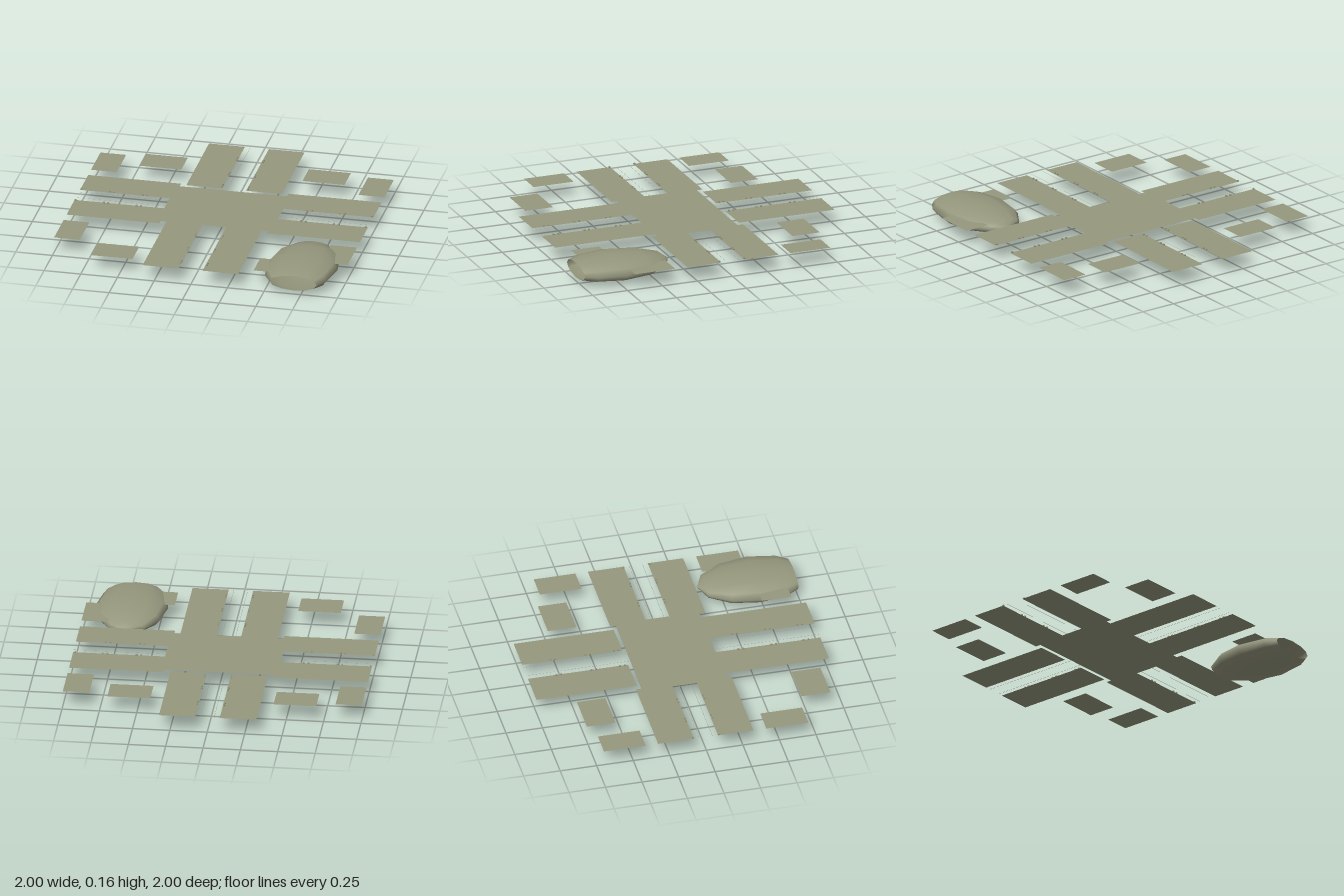
import * as THREE from 'three';

const GROUND = 0.108;

export function createModel() {
  const root = new THREE.Group();
  const mat = new THREE.MeshStandardMaterial({ color: 0x95977d, side: THREE.DoubleSide });

  const add = (name, geometry, parent = root) => {
    const mesh = new THREE.Mesh(geometry, mat);
    mesh.name = name;
    parent.add(mesh);
    return mesh;
  };

  // Flat horizontal sheet between two corners
  const sheet = (name, x0, x1, z0, z1, y = GROUND) => {
    const g = new THREE.PlaneGeometry(x1 - x0, z1 - z0).rotateX(-Math.PI / 2);
    g.translate((x0 + x1) / 2, y, (z0 + z1) / 2);
    return add(name, g);
  };

  // Crossing and the paired carriageways of each arm
  sheet('crossing', -0.39, 0.385, -0.29, 0.283, GROUND - 0.001);
  for (const [x0, x1] of [[-1, -0.367], [0.363, 1]]) {
    sheet('sideRoad', x0, x1, -0.33, -0.085);
    sheet('sideRoad', x0, x1, 0.08, 0.322);
  }
  for (const [x0, x1] of [[-0.328, -0.083], [0.08, 0.323]]) {
    sheet('backRoad', x0, x1, -1, -0.315);
    sheet('frontRoad', x0, x1, 0.28, 1);
  }

  // Plots of land in the four corners
  for (const [x0, x1] of [[-1, -0.825], [0.823, 1]]) {
    sheet('outerPlot', x0, x1, -0.7, -0.415);
    sheet('outerPlot', x0, x1, 0.41, 0.697);
  }
  for (const [x0, x1] of [[-0.7, -0.415], [0.41, 0.697]]) {
    sheet('innerPlot', x0, x1, -0.745, -0.55);
    sheet('innerPlot', x0, x1, 0.72, 0.92);
  }

  // Thin lines along the medians, and the turning lines that join them
  const w = 0.001;
  for (const sx of [-1, 1]) {
    const x = sx * 0.046;
    sheet('medianLine', x - w, x + w, -1, -0.285);
    sheet('medianLine', x - w, x + w, 0.28, 1);
    for (const sz of [-1, 1]) {
      const z = sz * 0.045 - 0.003;
      const [a, b] = sx < 0 ? [-1, -0.13] : [0.13, 1];
      sheet('medianLine', a, b, z - w, z + w, GROUND + 0.0005);
      const path = [[0.13, 0.045], [0.07, 0.12], [0.075, 0.2], [0.046, 0.28]];
      for (let i = 0; i < path.length - 1; i++) {
        const [x0, z0] = path[i], [x1, z1] = path[i + 1];
        const g = new THREE.PlaneGeometry(Math.hypot(x1 - x0, z1 - z0), 2 * w).rotateX(-Math.PI / 2);
        const line = add('turningLine', g);
        line.position.set(sx * (x0 + x1) / 2, GROUND + 0.0005, sz * (z0 + z1) / 2);
        line.rotation.y = -Math.atan2(sz * (z1 - z0), sx * (x1 - x0));
      }
    }
  }

  // Small kerb markers beside the medians, in pairs
  const marker = (x, z) => add('kerbMarker', new THREE.BoxGeometry(0.011, 0.009, 0.011))
    .position.set(x, GROUND + 0.004, z);
  for (const side of [-0.09, 0.088]) {
    for (const p of [-0.785, -0.56, 0.56, 0.785])
      for (const d of [-0.016, 0.016]) marker(p + d, side);
    for (const p of [-0.79, -0.55, -0.355, 0.455, 0.68, 0.9])
      for (const d of [-0.016, 0.016]) marker(side, p + d);
    marker(-0.992, side);
    marker(0.985, side);
  }

  // Flattened low-sided dome lying along z, cut off open at the front
  const profile = [];
  for (let i = 0; i <= 4; i++) {
    const a = i * Math.PI / 6;
    profile.push(new THREE.Vector2(Math.sin(a), -0.385 * Math.cos(a)));
  }
  profile.push(new THREE.Vector2(0.665, 0.27));
  const dome = new THREE.LatheGeometry(profile, 12).rotateX(Math.PI / 2);
  dome.scale(0.242, 0.0785, 1);
  dome.translate(0.698, 0.0785, 0.73);
  add('openDome', dome);

  return root;
}
